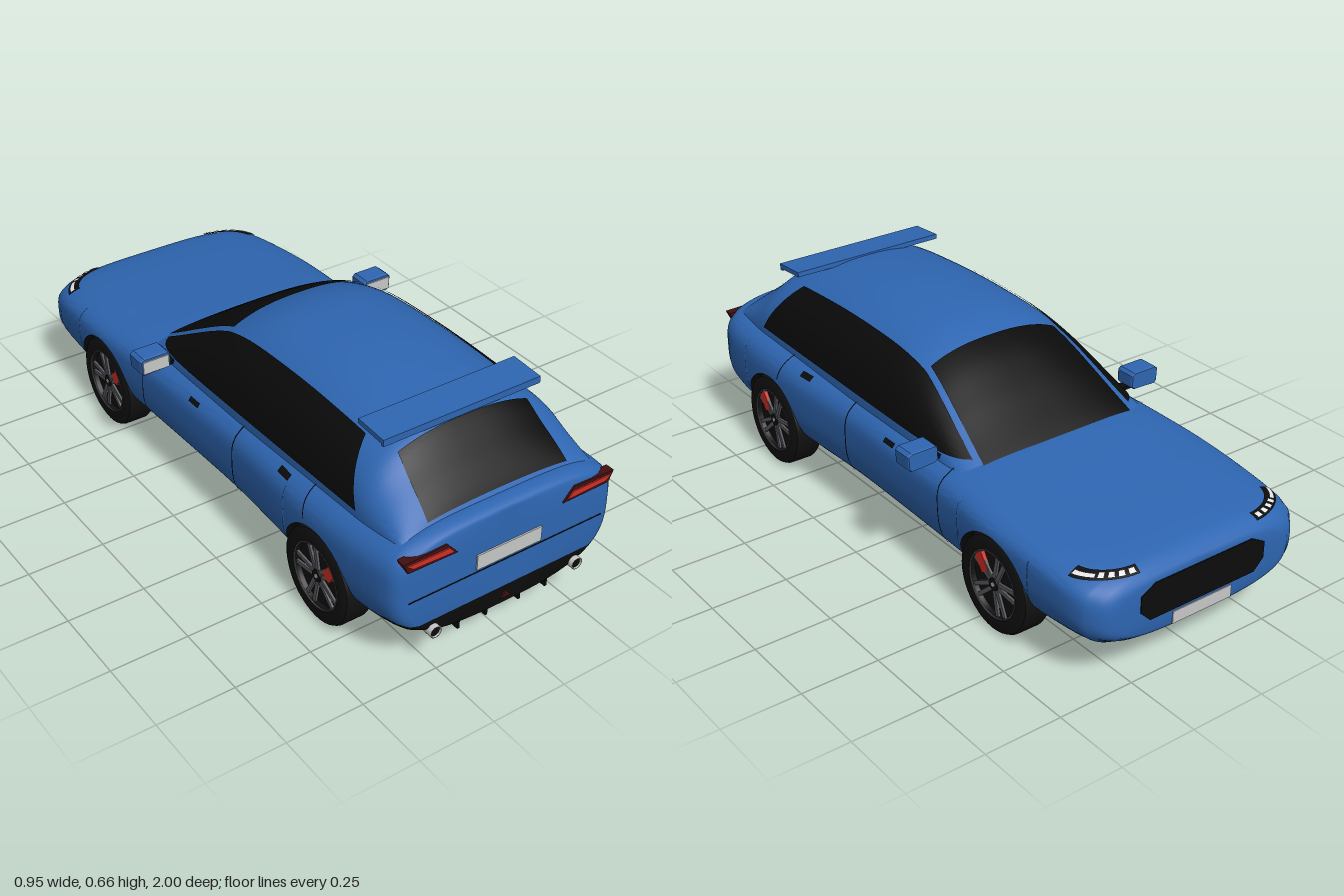
import * as THREE from 'three';
import { toCreasedNormals } from 'three/addons/utils/BufferGeometryUtils.js';

const mat = (name, color, side = THREE.FrontSide) => {
  const m = new THREE.MeshStandardMaterial({ color, side });
  m.name = name;
  return m;
};

// Smooth interpolation of one column of a table whose column 0 is z
function at(table, z, col) {
  const n = table.length;
  let i = 0;
  while (i < n - 2 && z > table[i + 1][0]) i++;
  const slope = k => {
    const a = table[Math.max(0, k - 1)], b = table[Math.min(n - 1, k + 1)];
    return (b[col] - a[col]) / (b[0] - a[0]);
  };
  const p = table[i], q = table[i + 1], h = q[0] - p[0];
  const t = Math.min(1, Math.max(0, (z - p[0]) / h)), t2 = t * t, t3 = t2 * t;
  return (2 * t3 - 3 * t2 + 1) * p[col] + (t3 - 2 * t2 + t) * h * slope(i)
    + (3 * t2 - 2 * t3) * q[col] + (t3 - t2) * h * slope(i + 1);
}

// Grid surface from f(u, v) -> [x, y, z]
function patch(f, us, vs, flip = false) {
  const pos = [], idx = [], w = us.length;
  vs.forEach(v => us.forEach(u => pos.push(...f(u, v))));
  for (let j = 0; j < vs.length - 1; j++) for (let i = 0; i < w - 1; i++) {
    const a = j * w + i, b = a + 1, c = a + w, d = c + 1;
    idx.push(...(flip ? [a, c, b, b, c, d] : [a, b, c, b, d, c]));
  }
  const g = new THREE.BufferGeometry();
  g.setAttribute('position', new THREE.Float32BufferAttribute(pos, 3));
  g.setIndex(idx);
  return toCreasedNormals(g, 0.7);
}
const steps = n => Array.from({ length: n + 1 }, (_, i) => i / n);
const lerp = THREE.MathUtils.lerp;

// Body stations: z, half width, top, widest height, bottom, paint edge
const BODY = [
  [-1, .3, .315, .22, .14, .14], [-.995, .33, .326, .23, .13, .13], [-.98, .358, .338, .24, .118, .12],
  [-.95, .385, .35, .25, .1, .11], [-.9, .4, .36, .265, .09, .115], [-.75, .412, .378, .28, .075, .145],
  [-.55, .418, .396, .29, .07, .155], [-.36, .41, .413, .29, .07, .155], [0, .4, .425, .29, .07, .155],
  [.2, .398, .43, .29, .07, .155], [.5, .41, .44, .29, .07, .155], [.7, .412, .448, .295, .072, .155],
  [.85, .406, .456, .3, .08, .165], [.93, .398, .461, .305, .095, .2], [.965, .386, .46, .305, .1, .19],
  [.98, .37, .452, .305, .105, .176], [.985, .35, .445, .305, .11, .17]];
const ROOF = [
  [-.4, .385], [-.36, .418], [-.28, .475], [-.2, .53], [-.1, .59], [0, .63], [.1, .652], [.25, .662], [.4, .663],
  [.55, .655], [.68, .642], [.76, .622], [.82, .57], [.88, .52], [.93, .468], [.95, .43]];
const WHEELS = [-.575, .64], AXLE = .155, ARCH = .163, UP = 3.5, LOW = 3, CAB = 2.4;

function bodyPoint(z, a, off = 0, wide = 1) {
  const c = Math.cos(a), s = Math.sin(a), e = 2 / (s >= 0 ? UP : LOW), mid = at(BODY, z, 3);
  const reach = s >= 0 ? at(BODY, z, 2) - mid : mid - at(BODY, z, 4);
  return [Math.sign(c) * Math.abs(c) ** e * (at(BODY, z, 1) + off) * wide,
    mid + Math.sign(s) * Math.abs(s) ** e * (reach + off), z];
}
// Section angle at which the body reaches height y
function bodyAngle(z, y) {
  const mid = at(BODY, z, 3), up = y >= mid;
  const r = up ? (y - mid) / (at(BODY, z, 2) - mid) : (mid - y) / (mid - at(BODY, z, 4));
  return (up ? 1 : -1) * Math.asin(Math.min(1, r) ** ((up ? UP : LOW) / 2));
}
const inArch = z => WHEELS.some(c => Math.abs(z - c) < ARCH - 1e-5);
function paintAngle(z) {
  let y = at(BODY, z, 5);
  for (const c of WHEELS) if (inArch(z) && Math.abs(z - c) < ARCH) y = AXLE + Math.sqrt(ARCH ** 2 - (z - c) ** 2);
  return bodyAngle(z, y);
}

// Cabin section
const cabBase = z => at(BODY, z, 2) - .05;
const cabWidth = z => .355 - .01 * THREE.MathUtils.smoothstep(z, .75, .95);
function cabPoint(z, a, off = 0) {
  const c = Math.cos(a), b = cabBase(z);
  return [Math.sign(c) * Math.abs(c) ** (2 / CAB) * (cabWidth(z) + off),
    b + Math.max(0, Math.sin(a)) ** (2 / CAB) * (at(ROOF, z, 1) - b + off), z];
}
const cabAngleX = (z, x) => Math.acos((x / cabWidth(z)) ** (CAB / 2));
function cabAngleY(z, y) {
  const r = (y - cabBase(z)) / (at(ROOF, z, 1) - cabBase(z));
  return Math.asin(Math.min(1, Math.max(0, r)) ** (CAB / 2));
}

export function createModel() {
  const car = new THREE.Group();
  car.name = 'car';
  const blue = mat('blue paint', 0x2e66b2), black = mat('black trim', 0x0c0c0c, THREE.DoubleSide);
  const glass = mat('dark glass', 0x0a0a0b), rubber = mat('tyre rubber', 0x111111);
  const alloy = mat('grey alloy', 0x5c5d62), silver = mat('silver', 0xc6c8c6);
  const red = mat('bright red', 0xcf2f25), darkRed = mat('dark red', 0x430f10), white = mat('lamp white', 0xf2f2f2);

  const add = (name, geo, m, x = 0, y = 0, z = 0, parent = car) => {
    const o = new THREE.Mesh(geo, m);
    o.name = name;
    o.position.set(x, y, z);
    parent.add(o);
    return o;
  };
  const box = (name, m, w, h, d, x, y, z, parent) => add(name, new THREE.BoxGeometry(w, h, d), m, x, y, z, parent);
  const plate = (name, m, pts, depth, z) => {
    const shape = new THREE.Shape(pts.map(p => new THREE.Vector2(...p)));
    return add(name, new THREE.ExtrudeGeometry(shape, { depth, bevelEnabled: false }), m, 0, 0, z);
  };

  // Body shell and dark underside, closed flat at nose and tail
  const zs = BODY.map(r => r[0]);
  for (let z = -.94; z < .96; z += .04) zs.push(z);
  for (const c of WHEELS) for (let k = 0; k <= 24; k++) zs.push(c + ARCH * Math.cos(k * Math.PI / 24));
  zs.sort((a, b) => a - b);
  const rows = [[-1, 0], ...zs.map(z => [z, 1]), [.985, 0]];
  add('bodyShell', patch((u, [z, w]) => {
    const a = paintAngle(z);
    return bodyPoint(z, lerp(a, Math.PI - a, u), 0, w);
  }, steps(64), rows), blue);
  add('underbody', patch((u, [z, w]) => {
    const a = paintAngle(z), inner = u > 0 && u < 1 && inArch(z);
    return bodyPoint(z, lerp(-Math.PI - a, a, u), 0, inner ? w * .7 : w);
  }, steps(40), rows), black);

  // Cabin with glass laid over it
  add('cabin', patch((u, v) => cabPoint(lerp(-.4, .95, v), u * Math.PI), steps(48), steps(70)), blue);
  const screen = (name, z0, z1, x0, x1) => add(name, patch((u, v) => {
    const z = lerp(z0, z1, v), a = cabAngleX(z, lerp(x0, x1, v));
    return cabPoint(z, lerp(a, Math.PI - a, u), .004);
  }, steps(24), steps(24)), glass);
  screen('windscreen', -.372, -.04, .278, .232);
  screen('rearWindow', .765, .928, .225, .243);

  for (const s of [1, -1]) {
    const flip = s < 0, side = s > 0 ? 'left' : 'right';
    const mirror = f => (u, v) => { const p = f(u, v); return [s * p[0], p[1], p[2]]; };
    const onBody = (name, m, z0, z1, y0, y1, lean = 0) => add(name, patch(mirror((u, v) => {
      const z = lerp(z0, z1, v) + lean * u;
      return bodyPoint(z, bodyAngle(z, lerp(y0, y1, u)), .003);
    }), steps(12), [0, 1], flip), m);

    add(side + 'SideWindow', patch(mirror((u, v) => {
      const z = lerp(-.372, .755 - .1 * u, v);
      const top = cabAngleX(z, .25 + .05 * THREE.MathUtils.clamp((-.04 - z) / .33, 0, 1));
      const low = Math.min(top, cabAngleY(z, .42 + .025 * z));
      return cabPoint(z, lerp(low, top, u), .004);
    }), steps(14), steps(60), flip), glass);

    // Door seams and handles
    onBody(side + 'DoorSeam', black, .193, .198, .16, .41);
    onBody(side + 'FrontDoorSeam', black, -.326, -.322, .16, .39, .015);
    onBody(side + 'RearDoorSeam', black, .585, .589, .33, .42, -.025);
    onBody(side + 'RearHandle', black, .42, .475, .38, .394);
    onBody(side + 'FrontHandle', black, -.06, -.008, .357, .37);

    // Headlamp bands curving round the nose corners
    const lamp = (name, m, t0, t1, k0, k1, off) => add(name, patch(mirror((u, v) => {
      const t = lerp(t0, t1, u), k = lerp(k0, k1, v);
      const x = .2 + .18 * k * Math.sin(t), z = -.85 - .13 * k * Math.cos(t), mid = at(BODY, z, 3);
      const f = Math.min(1, x / at(BODY, z, 1));
      return [x, mid + (at(BODY, z, 2) - mid) * (1 - f ** UP) ** (1 / UP) + off, z];
    }), steps(12), steps(4), flip), m);
    lamp(side + 'Headlamp', black, .1, 1.42, .78, 1, .004);
    for (let i = 0; i < 4; i++) lamp(side + 'HeadlampLens', white, .16 + i * .19, .28 + i * .19, .85, .97, .007);
    lamp(side + 'DaylightStrip', white, .9, 1.38, .88, .96, .007);

    // Door mirror
    const shell = new THREE.Shape([[-.05, .02], [-.042, .028], [.04, .028], [.05, .02], [.048, -.02], [.04, -.027],
      [-.04, -.024], [-.05, -.016]].map(p => new THREE.Vector2(p[0] * s, p[1])));
    add(side + 'MirrorShell', new THREE.ExtrudeGeometry(shell, { depth: .05, bevelSize: .003, bevelThickness: .01,
      bevelSegments: 2 }), blue, s * .424, .428, -.258);
    box(side + 'MirrorGlass', silver, .09, .042, .004, s * .424, .428, -.196);
    box(side + 'MirrorStalk', black, .08, .012, .03, s * .375, .402, -.23);

    // Tail lamps, exhausts and diffuser fins
    plate(side + 'TailLamp', darkRed, [[.372, .416], [.225, .42], [.187, .377], [.355, .38]].map(p => [s * p[0], p[1]]), .03, .96);
    plate(side + 'TailLampStrip', red, [[.362, .408], [.218, .407], [.202, .387], [.34, .392]].map(p => [s * p[0], p[1]]), .006, .988);
    const pipe = [[.014, -.05], [.02, -.05], [.02, .03], [.016, .03], [.016, -.03], [.001, -.03]];
    add(side + 'Exhaust', new THREE.LatheGeometry(pipe.map(p => new THREE.Vector2(...p)), 20), silver,
      s * .257, .135, .97).rotation.x = Math.PI / 2;
    add(side + 'ExhaustBore', new THREE.CircleGeometry(.016, 20), black, s * .257, .135, .995);
    for (const x of [.06, .16]) box(side + 'DiffuserFin', black, .008, .04, .07, s * x, .105, .945);

    // Wheels
    for (const z of WHEELS) {
      const wheel = new THREE.Group();
      wheel.name = side + (z < 0 ? 'FrontWheel' : 'RearWheel');
      wheel.position.set(s * .36, AXLE, z);
      wheel.rotation.z = -s * Math.PI / 2;
      car.add(wheel);
      const tyre = [[.001, -.05], [.14, -.05], [.15, -.045], [.155, -.035], [.155, .035], [.15, .045], [.14, .05],
        [.108, .05], [.103, .03], [.001, .03]].map(p => new THREE.Vector2(...p));
      add('tyre', toCreasedNormals(new THREE.LatheGeometry(tyre, 40), .6), rubber, 0, 0, 0, wheel);
      const ring = add('rimRing', new THREE.TorusGeometry(.105, .0025, 6, 40), alloy, 0, .048, 0, wheel);
      ring.rotation.x = Math.PI / 2;
      for (let i = 0; i < 5; i++) {
        const arm = new THREE.Group();
        arm.name = 'spoke';
        arm.rotation.y = i * Math.PI * .4 + Math.PI / 2;
        wheel.add(arm);
        for (const k of [-1, 1]) box('spokeBar', alloy, .085, .008, .013, .06, .038, k * .012, arm).rotation.y = -k * .12;
      }
      add('hub', new THREE.CylinderGeometry(.02, .024, .014, 16), rubber, 0, .038, 0, wheel);
      add('hubCap', new THREE.CylinderGeometry(.007, .007, .004, 12), silver, 0, .046, 0, wheel);
      box('brakeCaliper', red, .012, .06, .036, s * .397, AXLE + .044, z + .058).rotation.x = .6;
    }
  }

  // Roof spoiler
  box('spoiler', blue, .55, .016, .115, 0, .64, .706).rotation.x = .06;
  box('spoilerLip', blue, .55, .022, .012, 0, .634, .758);

  // Tail details
  box('rearPlate', silver, .23, .05, .006, 0, .304, .987);
  box('tailgateSeam', black, .69, .003, .004, 0, .268, .985);
  plate('fogLamp', darkRed, [[-.018, .13], [.018, .13], [0, .153]], .006, .984);

  // Nose details
  plate('grille', black, [[-.18, .303], [-.23, .275], [-.23, .222], [-.195, .187], [.195, .187], [.23, .222],
    [.23, .275], [.18, .303]], .006, -1.003);
  box('frontPlate', silver, .22, .04, .006, 0, .158, -1);
  return car;
}
